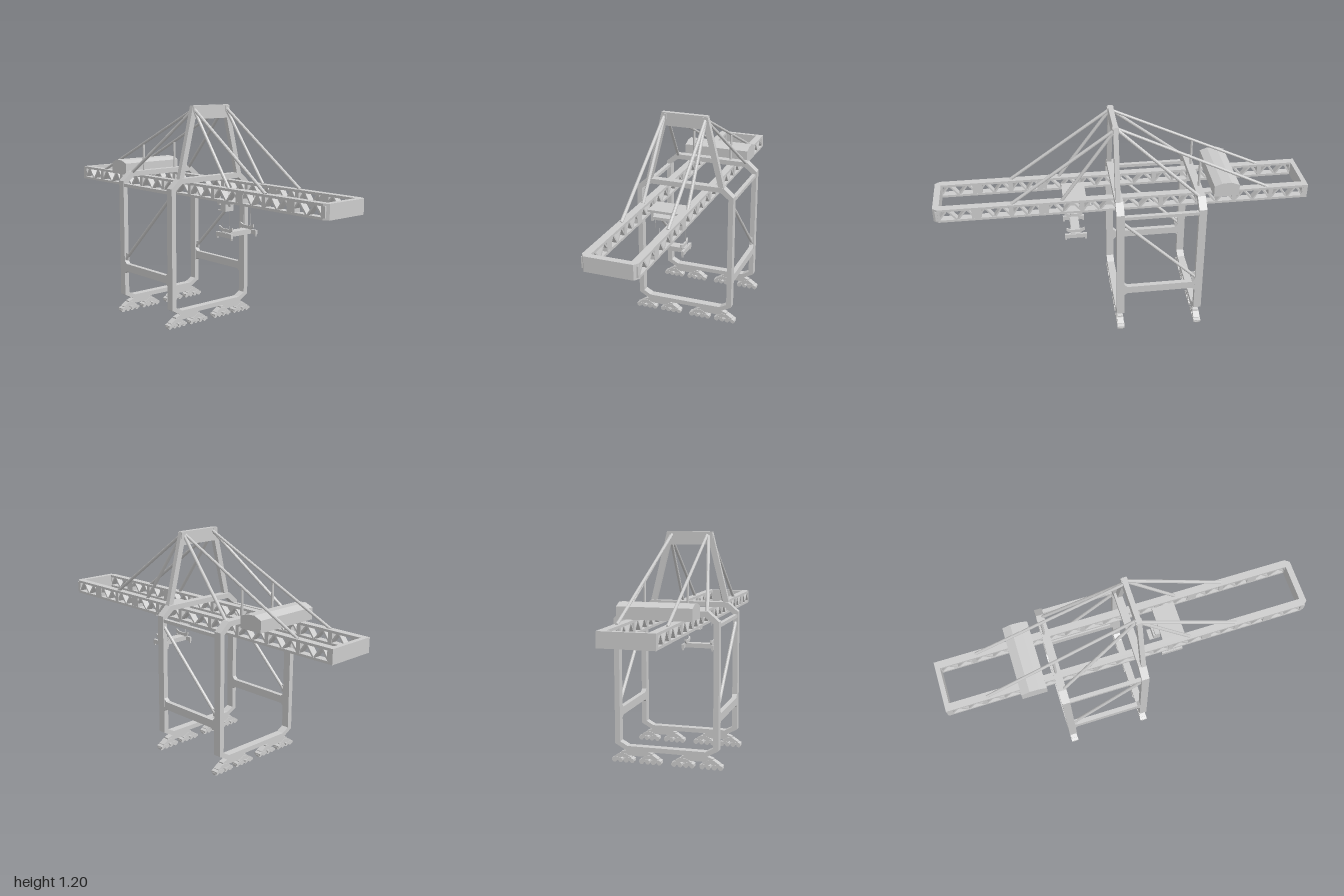
import * as THREE from 'three';

const mat = new THREE.MeshStandardMaterial({ color: 0xcccccc, flatShading: true, side: THREE.DoubleSide });
const V = (x, y, z) => new THREE.Vector3(x, y, z);

export function createModel() {
  const root = new THREE.Group();
  root.name = 'containerCrane';

  const add = (name, geo, parent = root) => {
    const m = new THREE.Mesh(geo, mat);
    m.name = name;
    parent.add(m);
    return m;
  };
  const group = (name) => {
    const g = new THREE.Group();
    g.name = name;
    root.add(g);
    return g;
  };
  // box given by its min and max corners
  const box = (name, x0, x1, y0, y1, z0, z1, parent) => {
    const m = add(name, new THREE.BoxGeometry(x1 - x0, y1 - y0, z1 - z0), parent);
    m.position.set((x0 + x1) / 2, (y0 + y1) / 2, (z0 + z1) / 2);
    return m;
  };
  // square bar between two points
  const bar = (name, a, b, w, h, parent) => {
    const m = add(name, new THREE.BoxGeometry(w, h, a.distanceTo(b)), parent);
    m.position.copy(a).lerp(b, 0.5);
    m.lookAt(b);
    return m;
  };
  // round rod between two points
  const rod = (name, a, b, r, parent) => {
    const m = add(name, new THREE.CylinderGeometry(r, r, a.distanceTo(b), 10), parent);
    m.position.copy(a).lerp(b, 0.5);
    m.quaternion.setFromUnitVectors(V(0, 1, 0), b.clone().sub(a).normalize());
    return m;
  };
  const poly = (pts) => new THREE.Shape(pts.map((p) => new THREE.Vector2(p[0], p[1])));
  const mirrored = (half) => poly([...half, ...half.map(([x, y]) => [-x, y]).reverse()]);
  const extrude = (shape, depth) => new THREE.ExtrudeGeometry(shape, { depth, bevelEnabled: false });

  // portal frames with chamfered corners
  const portal = mirrored([[0.215, 0.07], [0.278, 0.105], [0.278, 0.765], [0.22, 0.815]]);
  portal.holes.push(mirrored([[0.21, 0.095], [0.25, 0.117], [0.25, 0.752], [0.205, 0.787]]));
  const frames = [['frontPortal', 0.037], ['rearPortal', -0.397]];
  for (const [name, z] of frames) {
    add(name, extrude(portal, 0.042)).position.z = z - 0.021;
  }

  // wheel bogies under each corner
  const carrier = poly([[-0.085, 0.05], [-0.04, 0.042], [0.04, 0.042], [0.085, 0.05], [0.085, 0.06], [0.05, 0.072], [-0.05, 0.072], [-0.085, 0.06]]);
  const rocker = poly([[-0.045, 0.025], [-0.02, 0.025], [0, 0.034], [0.02, 0.025], [0.045, 0.025], [0.045, 0.034], [0.015, 0.053], [-0.015, 0.053], [-0.045, 0.034]]);
  const truck = poly([[-0.028, 0.012], [-0.01, 0.012], [0, 0.018], [0.01, 0.012], [0.028, 0.012], [0.028, 0.024], [0.012, 0.031], [-0.012, 0.031], [-0.028, 0.024]]);
  const wheel = new THREE.CylinderGeometry(0.013, 0.013, 0.022, 14).rotateX(Math.PI / 2);
  const plate = (name, shape, depth, x, z, parent) =>
    add(name, extrude(shape, depth), parent).position.set(x, 0, z - depth / 2);
  for (const [, z] of frames) for (const s of [-1, 1]) {
    const g = group('bogieSet');
    plate('mainEqualizer', carrier, 0.03, s * 0.163, z, g);
    for (const dx of [-0.075, 0.075]) {
      const x = s * 0.163 + dx;
      plate('rocker', rocker, 0.036, x, z, g);
      for (const t of [-0.032, 0.032]) {
        plate('truck', truck, 0.04, x + t, z, g);
        for (const w of [-0.0165, 0.0165]) add('wheel', wheel, g).position.set(x + t + w, 0.013, z);
      }
    }
  }

  // side ties, gussets and diagonal braces between the portals
  for (const s of [-1, 1]) {
    const g = group(s > 0 ? 'leftSideBracing' : 'rightSideBracing');
    const x = s * 0.264;
    const tie = poly([[0.02, 0.23], [0, 0.247], [-0.36, 0.247], [-0.38, 0.23], [-0.38, 0.31], [-0.36, 0.29], [0, 0.29], [0.02, 0.31]]);
    const t = add('lowerTie', extrude(tie, 0.026), g);
    t.rotation.y = -Math.PI / 2;
    t.position.x = x + 0.013;
    bar('upperTie', V(x, 0.742, 0.02), V(x, 0.742, -0.38), 0.022, 0.018, g);
    rod('diagonalBrace', V(x, 0.705, 0.02), V(x, 0.315, -0.38), 0.009, g);
    box('braceGusset', x - 0.004, x + 0.004, 0.31, 0.35, -0.38, -0.355, g);
  }

  // A-frame mast above the front portal
  const mast = mirrored([[0.225, 0.805], [0.128, 1.197]]);
  mast.holes.push(mirrored([[0.192, 0.813], [0.113, 1.125]]));
  add('mastFrame', extrude(mast, 0.026)).position.z = 0.03;

  // boom: chamfered plan ring for the chords and end walls
  const plan = (hole) => {
    const s = mirrored([[0.14, 1], [0.14, -0.975], [0.122, -1]]);
    if (hole) s.holes.push(mirrored([[0.1, 0.975], [0.1, -0.967]]));
    return s;
  };
  const boom = group('boom');
  for (const [name, y] of [['bottomChord', 0.71], ['topChord', 0.774]]) {
    const m = add(name, extrude(plan(true), 0.013), boom);
    m.rotation.x = -Math.PI / 2;
    m.position.y = y;
  }
  const nose = add('frontEndBeam', extrude(mirrored([[0.14, -0.967], [0.14, -0.975], [0.122, -1]]), 0.077), boom);
  nose.rotation.x = -Math.PI / 2;
  nose.position.y = 0.71;
  box('rearEndBeam', -0.14, 0.14, 0.71, 0.787, -1, -0.975, boom);

  // truss webs, broken by solid joint panels
  const joints = [0.975, 0.775, 0.595, 0.425, 0.225, 0.035, -0.195, -0.395, -0.595, -0.795, -0.98];
  for (const s of [-1, 1]) {
    const x = s * 0.12;
    joints.forEach((z, i) => {
      const h = i === 1 || i === 3 ? 0.026 : 0.012;
      box('jointPanel', x - 0.0195, x + 0.0195, 0.72, 0.776, z - h, z + h, boom);
      if (i === joints.length - 1) return;
      const step = (joints[i + 1] - z) / 4;
      for (let k = 0; k < 4; k++) {
        const lo = 0.717, hi = 0.78, up = k % 2 === 0;
        bar('webDiagonal', V(x, up ? lo : hi, z + k * step), V(x, up ? hi : lo, z + (k + 1) * step), 0.036, 0.009, boom);
      }
    });
  }

  // stays from the mast head
  for (const s of [-1, 1]) {
    const g = group(s > 0 ? 'leftStays' : 'rightStays');
    const head = V(s * 0.115, 1.182, 0.043);
    rod('outerForestay', head, V(s * 0.123, 0.785, 0.595), 0.009, g);
    rod('innerForestay', head, V(s * 0.123, 0.785, 0.33), 0.009, g);
    rod('rearBoomStay', V(s * 0.1, 1.182, 0.04), V(s * 0.123, 0.785, -0.78), 0.008, g);
    rod('backLegStay', V(s * 0.105, 1.18, 0.04), V(s * 0.21, 0.805, -0.39), 0.009, g);
    rod('stayPost', V(s * 0.113, 0.8, -0.403), V(s * 0.113, 0.962, -0.403), 0.007, g);
    box('headBlock', s * 0.115 - 0.014, s * 0.115 + 0.014, 1.16, 1.192, 0.026, 0.06, g);
  }

  // machinery house with sloped roof
  const house = poly([[-0.47, 0.787], [-0.47, 0.85], [-0.51, 0.865], [-0.56, 0.868], [-0.605, 0.85], [-0.605, 0.787]]);
  const hm = add('machineryHouse', extrude(house, 0.385));
  hm.rotation.y = -Math.PI / 2;
  hm.position.x = 0.192;

  // trolley with cabin
  const trolley = group('trolley');
  box('deck', -0.103, 0.103, 0.735, 0.748, 0.195, 0.32, trolley);
  box('lowerFrame', -0.09, 0.09, 0.692, 0.708, 0.205, 0.31, trolley);
  for (const x of [-0.085, 0.085]) for (const z of [0.215, 0.3]) {
    box('hanger', x - 0.006, x + 0.006, 0.683, 0.74, z - 0.008, z + 0.008, trolley);
  }
  box('cabin', -0.03, 0.03, 0.637, 0.682, 0.165, 0.203, trolley);
  box('cabinPorch', -0.03, 0.03, 0.637, 0.644, 0.143, 0.165, trolley);
  box('cabinMount', -0.03, 0.03, 0.68, 0.695, 0.175, 0.23, trolley);

  // spreader hung on hoist ropes
  const spreader = group('spreader');
  box('mainBeam', -0.09, 0.09, 0.517, 0.543, 0.235, 0.285, spreader);
  for (const x of [-0.088, 0.088]) {
    box('endBeam', x - 0.007, x + 0.007, 0.516, 0.54, 0.2, 0.32, spreader);
    for (const z of [0.206, 0.314]) box('twistLock', x - 0.004, x + 0.004, 0.505, 0.517, z - 0.005, z + 0.005, spreader);
  }
  const saddle = poly([[0.21, 0.572], [0.21, 0.555], [0.235, 0.54], [0.285, 0.54], [0.31, 0.555], [0.31, 0.572], [0.285, 0.56], [0.235, 0.56]]);
  for (const x of [-0.076, 0.076]) {
    const m = add('sheaveSaddle', extrude(saddle, 0.008), spreader);
    m.rotation.y = -Math.PI / 2;
    m.scale.z = -1;
    m.position.x = x - 0.004;
    for (const z of [0.235, 0.285]) rod('hoistRope', V(x, 0.555, z), V(x, 0.7, z), 0.0008, spreader);
  }
  return root;
}
